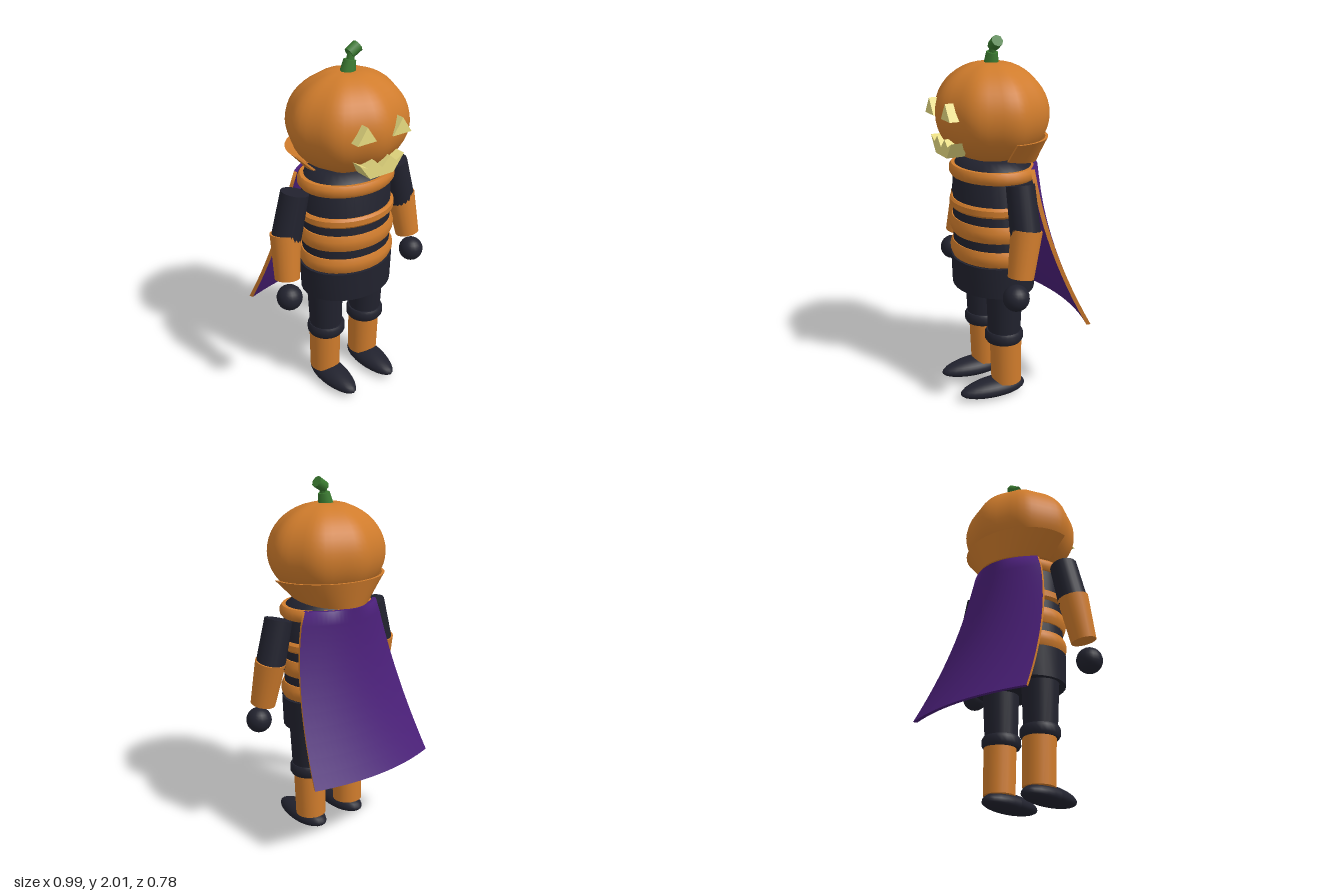
import * as THREE from 'three';
import { mergeVertices, toCreasedNormals } from 'three/addons/utils/BufferGeometryUtils.js';
import { ParametricGeometry } from 'three/addons/geometries/ParametricGeometry.js';

const material = (name, color, side = THREE.FrontSide) => {
  const m = new THREE.MeshStandardMaterial({ color, side });
  m.name = name;
  return m;
};

export function createModel() {
  const model = new THREE.Group();
  model.name = 'pumpkinFigure';
  const orange = material('pumpkin orange', 0xd07c2c, THREE.DoubleSide);
  const dark = material('midnight cloth', 0x21222e);
  const purple = material('cape purple', 0x4a1f78, THREE.DoubleSide);
  const green = material('stem green', 0x3a7a30);
  const yellow = material('glow yellow', 0xe6da80);
  const Z = 0.075; // body axis

  const add = (name, geometry, mat, x = 0, y = 0, z = 0) => {
    const mesh = new THREE.Mesh(geometry, mat);
    mesh.name = name;
    mesh.position.set(x, y, z);
    model.add(mesh);
    return mesh;
  };

  // Cylinder running from point a to point b
  const limb = (name, mat, a, b, ra, rb, sides = 20) => {
    const p = new THREE.Vector3(...a), q = new THREE.Vector3(...b);
    const mesh = add(name, new THREE.CylinderGeometry(rb, ra, p.distanceTo(q), sides), mat);
    mesh.position.copy(p).lerp(q, 0.5);
    mesh.quaternion.setFromUnitVectors(new THREE.Vector3(0, 1, 0), q.sub(p).normalize());
    return mesh;
  };

  // Oval ring of the body, turned from a profile of [radius, y]
  const turned = (name, mat, profile, depth = 0.82) => {
    const g = new THREE.LatheGeometry(profile.map(p => new THREE.Vector2(...p)), 32);
    g.scale(1, 1, depth);
    return add(name, toCreasedNormals(g, 0.7), mat, 0, 0, Z);
  };

  // Thick sheet: f(u, v, t, target), t = 0 outside and 1 inside
  const shell = (name, mat, edgeMat, f) => {
    const wall = (part, m, fn, nu, nv) => add(name + part, new ParametricGeometry(fn, nu, nv), m);
    wall('Outside', mat, (u, v, o) => f(u, v, 0, o), 24, 12);
    wall('Inside', mat, (u, v, o) => f(u, v, 1, o), 24, 12);
    for (const e of [0, 1]) {
      wall(e ? 'LeftEdge' : 'RightEdge', edgeMat, (u, v, o) => f(e, v, u, o), 1, 12);
      wall(e ? 'Hem' : 'TopEdge', mat, (u, v, o) => f(u, e, v, o), 24, 1);
    }
  };

  // Pumpkin head with eight soft lobes
  const head = new THREE.SphereGeometry(1, 48, 24);
  const pos = head.attributes.position;
  for (let i = 0; i < pos.count; i++) {
    const x = pos.getX(i), y = pos.getY(i), z = pos.getZ(i);
    const lobe = 1 + 0.025 * Math.cos(8 * Math.atan2(x, z));
    const dimple = y > 0 ? 0.015 * Math.exp(-(x * x + z * z) / 0.03) : 0;
    pos.setXYZ(i, x * 0.325 * lobe, y * 0.268 - dimple, z * 0.3 * lobe);
  }
  head.deleteAttribute('uv');
  head.deleteAttribute('normal');
  const smoothHead = mergeVertices(head);
  smoothHead.computeVertexNormals();
  add('head', smoothHead, orange, 0, 1.61, 0.08);

  // Crooked stem
  limb('stemBase', green, [0, 1.85, 0.08], [0.015, 1.92, 0.08], 0.043, 0.032, 8);
  limb('stemMiddle', green, [0.012, 1.905, 0.08], [0.025, 1.955, 0.08], 0.02, 0.02, 8);
  limb('stemTip', green, [0.013, 1.948, 0.075], [0.067, 1.98, 0.075], 0.03, 0.032, 8);

  // Carved face
  const plate = (name, points, depth, z) => {
    const shape = new THREE.Shape(points.map(p => new THREE.Vector2(...p)));
    add(name, new THREE.ExtrudeGeometry(shape, { depth, bevelEnabled: false }), yellow, 0, 0, z);
  };
  for (const s of [1, -1]) {
    plate(s > 0 ? 'leftEye' : 'rightEye',
      [[s * 0.11 - 0.058, 1.603], [s * 0.11 + 0.058, 1.603], [s * 0.11, 1.688]], 0.055, 0.332);
  }
  plate('mouth', [[-0.14, 1.487], [-0.075, 1.4], [0.075, 1.4], [0.14, 1.487], [0.09, 1.46],
    [0.05, 1.495], [0, 1.445], [-0.05, 1.495], [-0.09, 1.46]], 0.1, 0.27);

  // Torso, stripes and hips
  turned('shirt', dark, [[0, 0.8], [0.258, 0.8], [0.256, 1.31], [0.24, 1.335], [0.19, 1.37], [0, 1.38]]);
  for (const [low, high] of [[0.815, 0.9], [0.95, 1.04], [1.09, 1.145], [1.268, 1.332]]) {
    const mid = (low + high) / 2;
    turned('stripe', orange,
      [[0.25, low], [0.264, low], [0.277, mid - 0.015], [0.277, mid + 0.015], [0.264, high], [0.235, high]]);
  }
  turned('hips', dark, [[0, 0.64], [0.268, 0.64], [0.274, 0.81], [0, 0.81]]);

  // Arms and legs
  for (const s of [1, -1]) {
    const side = s > 0 ? 'left' : 'right';
    limb(side + 'UpperArm', dark, [s * 0.33, 1.285, Z], [s * 0.392, 1.035, Z], 0.075, 0.08);
    limb(side + 'Forearm', orange, [s * 0.392, 1.065, 0.07], [s * 0.418, 0.82, 0.115], 0.083, 0.068);
    add(side + 'Hand', new THREE.SphereGeometry(0.07, 20, 14), dark, s * 0.427, 0.717, 0.145);

    limb(side + 'Thigh', dark, [s * 0.142, 0.37, Z], [s * 0.146, 0.66, Z], 0.09, 0.102);
    limb(side + 'Calf', orange, [s * 0.14, 0.085, 0.06], [s * 0.142, 0.36, 0.066], 0.086, 0.09);
    const cuff = new THREE.LatheGeometry([[0, 0.34], [0.098, 0.34], [0.107, 0.355], [0.107, 0.39],
      [0.098, 0.405], [0, 0.405]].map(p => new THREE.Vector2(...p)), 24);
    add(side + 'Cuff', toCreasedNormals(cuff, 0.9), dark, s * 0.14, 0, Z);

    // Shoe: flat-soled ellipsoid narrowing at the toe
    const shoe = new THREE.SphereGeometry(1, 24, 16);
    const p = shoe.attributes.position;
    for (let i = 0; i < p.count; i++) {
      const z = p.getZ(i), y = p.getY(i);
      const taper = 1 - 0.14 * z;
      p.setXYZ(i, p.getX(i) * 0.083 * taper, y * (y > 0 ? 0.06 * taper : 0.045), z * 0.197);
    }
    shoe.computeVertexNormals();
    add(side + 'Shoe', shoe, dark, s * 0.138, 0.047, 0.145);
  }

  // Flared cape, bowed backwards, with orange side edges
  shell('cape', purple, orange, (u, v, t, o) => {
    const k = u * 2 - 1;
    const width = (0.25 + 0.16 * v ** 0.75) * (1 - 0.025 * t);
    const edge = -0.05 - 0.275 * v ** 1.7, middle = -0.16 - 0.23 * v * v;
    o.set(k * width, 1.335 - 0.875 * v, middle + (edge - middle) * k * k + 0.022 * t);
  });

  // Stand-up collar flaring around the back of the head
  shell('collar', orange, orange, (u, v, t, o) => {
    const a = (u * 2 - 1) * 1.65;
    const end = Math.abs(u * 2 - 1) ** 2;
    const rx = 0.335 - 0.115 * v - 0.015 * t, rz = 0.28 - 0.045 * v - 0.015 * t;
    const bottom = 1.34 + 0.04 * end;
    o.set(Math.sin(a) * rx, 1.49 + (bottom - 1.49) * v, 0.07 - Math.cos(a) * rz);
  });

  return model;
}
